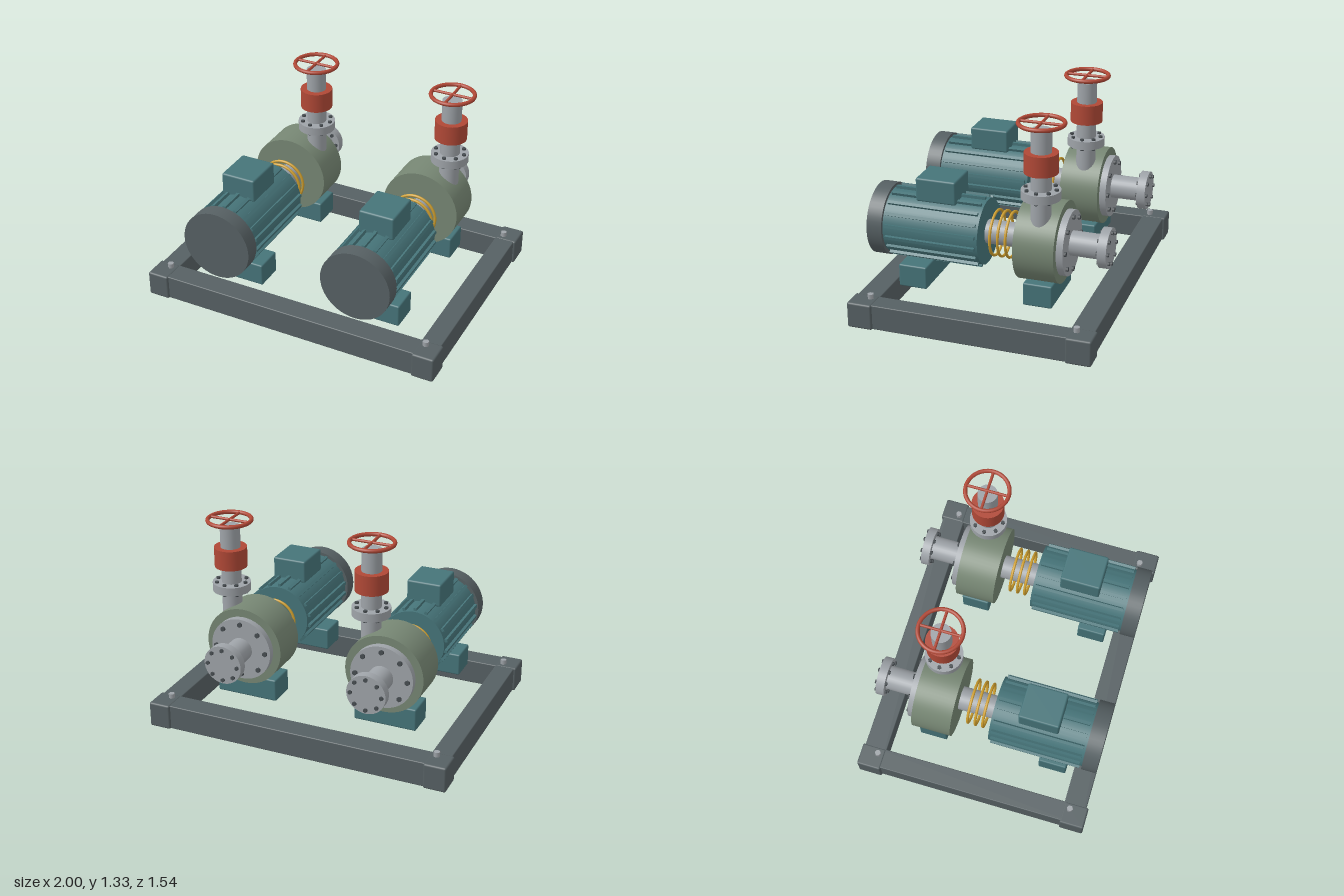
import * as THREE from 'three';
import { RoundedBoxGeometry } from 'three/addons/geometries/RoundedBoxGeometry.js';

const material = (name, color) => {
  const m = new THREE.MeshStandardMaterial({ color });
  m.name = name;
  return m;
};

export function createModel() {
  const frameGrey = material('frame grey', 0x566063);
  const motorTeal = material('motor teal', 0x467479);
  const pumpGreen = material('pump green', 0x768673);
  const steel = material('steel', 0x9ea3a8);
  const valveRed = material('valve red', 0xb04836);
  const brass = material('brass', 0xd0a030);
  const boltDark = material('bolt dark', 0x484e52);

  const add = (parent, name, geometry, mat, x = 0, y = 0, z = 0) => {
    const mesh = new THREE.Mesh(geometry, mat);
    mesh.name = name;
    mesh.position.set(x, y, z);
    parent.add(mesh);
    return mesh;
  };

  // Softened box given by its extents on each axis
  const block = (parent, name, mat, [x0, x1], [y0, y1], [z0, z1], r = 0.01) =>
    add(parent, name, new RoundedBoxGeometry(x1 - x0, y1 - y0, z1 - z0, 2, r), mat,
      (x0 + x1) / 2, (y0 + y1) / 2, (z0 + z1) / 2);

  // Cylinder along z between z0 and z1
  const drum = (parent, name, mat, r, z0, z1, sides = 48) => {
    const geometry = new THREE.CylinderGeometry(r, r, z1 - z0, sides).rotateX(Math.PI / 2);
    return add(parent, name, geometry, mat, 0, 0, (z0 + z1) / 2);
  };

  // Ring of hexagonal bolts along z
  const boltRing = (parent, radius, size, z0, z1) => {
    for (let i = 0; i < 8; i++) {
      const a = (i * Math.PI) / 4;
      const bolt = drum(parent, 'flangeBolt', boltDark, size, z0, z1, 6);
      bolt.position.x = Math.cos(a) * radius;
      bolt.position.y = Math.sin(a) * radius;
    }
  };

  // Bolted pipe flange along z
  const flange = (name, r, z0, z1) => {
    const group = new THREE.Group();
    group.name = name;
    drum(group, 'flangeDisc', steel, r, z0, z1);
    boltRing(group, r * 0.8, 0.013, z0 - 0.012, z1 + 0.012);
    return group;
  };

  const createPump = () => {
    const pump = new THREE.Group();
    pump.name = 'pumpSet';

    // Everything turning about the shaft axis
    const axis = new THREE.Group();
    axis.name = 'shaftLine';
    axis.position.y = 0.523;
    pump.add(axis);

    // Finned motor
    drum(axis, 'motorBody', motorTeal, 0.208, 0.042, 0.665);
    drum(axis, 'motorEndCap', frameGrey, 0.229, 0.66, 0.758);
    for (let i = 0; i < 18; i++) {
      const fin = new THREE.BoxGeometry(0.02, 0.04, 0.587).translate(0, 0.206, 0.3515);
      add(axis, 'coolingFin', fin, motorTeal).rotation.z = (i * Math.PI) / 9;
    }

    // Shaft housing with guard rings
    drum(axis, 'shaftHousing', steel, 0.076, -0.2, 0.045, 32);
    for (const z of [-0.015, -0.065, -0.115]) {
      add(axis, 'guardRing', new THREE.TorusGeometry(0.142, 0.009, 8, 48), brass, 0, 0, z);
    }

    // Pump casing, cover and inlet
    drum(axis, 'pumpCasing', pumpGreen, 0.255, -0.453, -0.198, 64);
    drum(axis, 'casingCover', steel, 0.204, -0.495, -0.45);
    boltRing(axis, 0.17, 0.016, -0.509, -0.49);
    drum(axis, 'inletPipe', steel, 0.077, -0.735, -0.49, 32);
    axis.add(flange('inletFlange', 0.125, -0.737, -0.682));

    // Terminal box and feet
    block(pump, 'terminalBox', motorTeal, [-0.115, 0.115], [0.71, 0.862], [0.212, 0.472], 0.012);
    for (const z of [0.47, -0.34]) {
      block(pump, 'foot', motorTeal, [-0.205, 0.205], [0.163, 0.31], [z - 0.092, z + 0.092]);
    }

    // Upright discharge line
    const outlet = new THREE.Group();
    outlet.name = 'dischargeLine';
    outlet.position.set(0.133, 0, -0.338);
    pump.add(outlet);
    add(outlet, 'outletPipe', new THREE.CylinderGeometry(0.063, 0.063, 0.727, 32), steel, 0, 0.9135, 0);
    const collar = flange('outletFlange', 0.12, -0.0275, 0.0275);
    collar.rotation.x = -Math.PI / 2;
    collar.position.y = 0.878;
    outlet.add(collar);
    add(outlet, 'valveBody', new THREE.CylinderGeometry(0.103, 0.103, 0.128, 40), valveRed, 0, 1.076, 0);

    // Handwheel
    const wheel = new THREE.Group();
    wheel.name = 'handwheel';
    wheel.position.y = 1.317;
    outlet.add(wheel);
    add(wheel, 'wheelRim', new THREE.TorusGeometry(0.136, 0.013, 10, 48).rotateX(Math.PI / 2), valveRed);
    for (const turn of [0, Math.PI / 2]) {
      const spoke = new THREE.CylinderGeometry(0.009, 0.009, 0.272, 10).rotateZ(Math.PI / 2);
      add(wheel, 'wheelSpoke', spoke, valveRed).rotation.y = turn;
    }
    return pump;
  };

  const model = new THREE.Group();
  model.name = 'twinPumpSkid';

  // Base frame with corner blocks and anchor bolts
  for (const s of [-1, 1]) {
    const span = (a, b) => (s > 0 ? [a, b] : [-b, -a]);
    block(model, 'crossRail', frameGrey, [-0.98, 0.98], [0.002, 0.163], span(0.61, 0.757), 0.006);
    block(model, 'sideRail', frameGrey, span(0.856, 0.985), [0.002, 0.163], [-0.75, 0.75], 0.006);
    for (const t of [-1, 1]) {
      const zs = t > 0 ? [0.612, 0.772] : [-0.772, -0.612];
      block(model, 'cornerBlock', frameGrey, span(0.856, 1), [0, 0.166], zs, 0.012);
      add(model, 'anchorBolt', new THREE.CylinderGeometry(0.02, 0.02, 0.04, 6), steel,
        s * 0.9, 0.177, t * 0.655);
    }
  }

  // Two identical pump sets side by side
  for (const x of [-0.476, 0.474]) {
    const pump = createPump();
    pump.position.x = x;
    model.add(pump);
  }
  return model;
}
